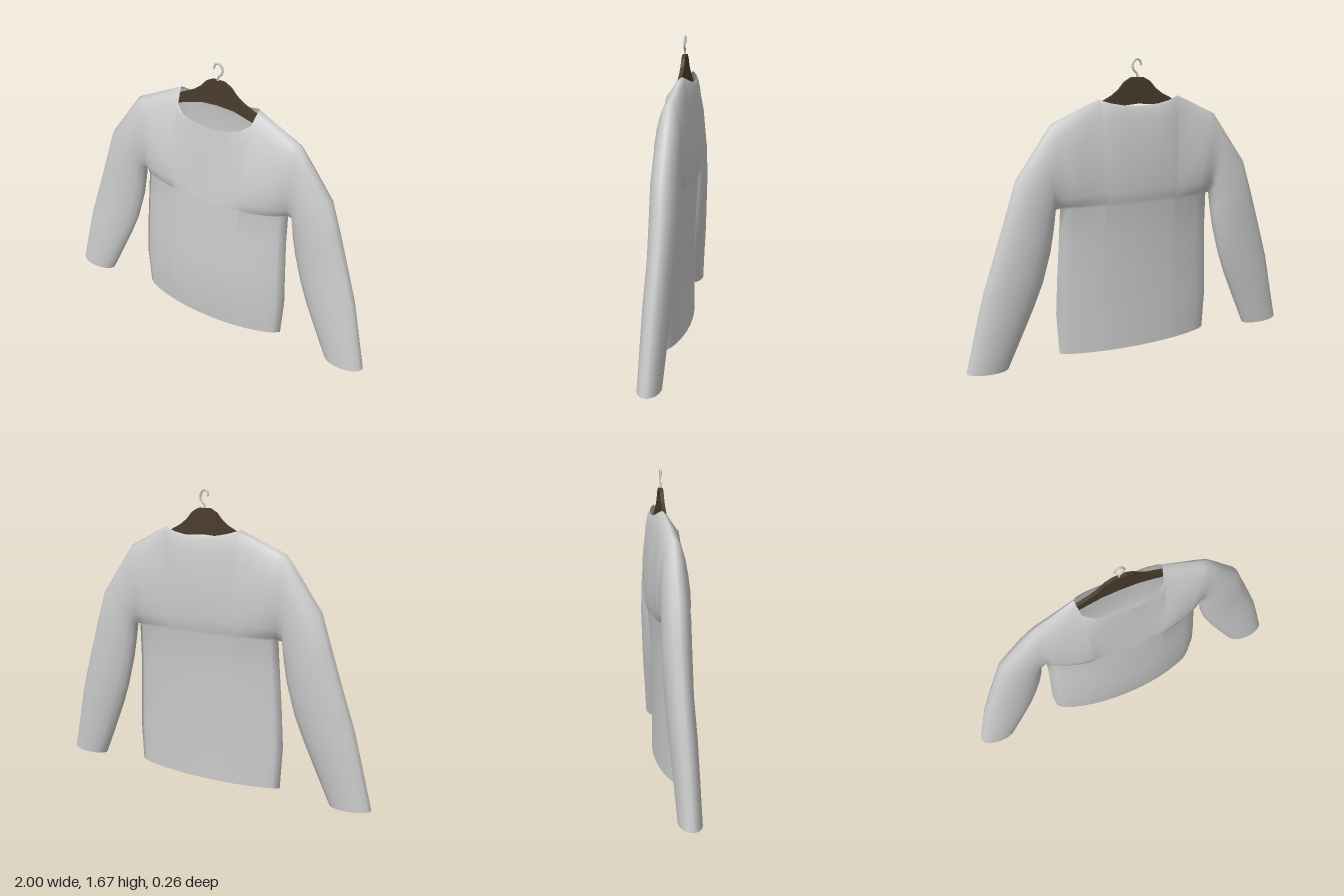
import * as THREE from 'three';
import { mergeVertices } from 'three/addons/utils/BufferGeometryUtils.js';

const lerp = THREE.MathUtils.lerp;
const STEPS = 8; // rows between underarm and shoulder, shared by panels and sleeve

// Torso levels: y, half width, side z, front z, back z
const LEVELS = [
  [0.03, 0.465, 0.0, 0.105, -0.09],
  [0.27, 0.48, 0.0, 0.13, -0.09],
  [0.5, 0.47, -0.005, 0.12, -0.092],
  [0.7, 0.46, -0.015, 0.11, -0.1],
  [0.88, 0.455, -0.03, 0.1, -0.112],
];

// Shoulder slope, shared by both panels: x, y, z
const SHOULDER = [[0.24, 1.46, -0.06], [0.32, 1.425, -0.05], [0.41, 1.382, -0.04], [0.46, 1.36, -0.034], [0.5, 1.34, -0.03]];
const withBulge = (bulges) => SHOULDER.map((p, i) => [...p, bulges[i]]);

// Top edge of each panel from the middle outwards: x, y, z, bulge below it
const FRONT = [
  [0, 1.33, 0.05, 0], [0.1, 1.337, 0.045, 0], [0.17, 1.352, 0.03, 0.01], [0.225, 1.385, 0, 0.03],
  ...withBulge([0.055, 0.06, 0.065, 0.065, 0.065]),
];
const BACK = [
  [0, 1.42, -0.095, -0.03], [0.1, 1.425, -0.095, -0.03], [0.17, 1.438, -0.088, -0.03], [0.225, 1.455, -0.07, -0.035],
  ...withBulge([-0.035, -0.045, -0.06, -0.065, -0.065]),
];

// Sleeve rings: inner x, y, outer x, y, centre z, half depth
const SLEEVE = [
  [0.455, 0.88, 0.5, 1.34, -0.03, 0.065],
  [0.485, 0.877, 0.56, 1.256, -0.03, 0.07],
  [0.495, 0.77, 0.7, 1.06, -0.03, 0.075],
  [0.515, 0.65, 0.765, 0.86, -0.03, 0.075],
  [0.56, 0.48, 0.83, 0.66, -0.025, 0.07],
  [0.61, 0.35, 0.9, 0.44, -0.015, 0.07],
  [0.685, 0.18, 0.945, 0.25, -0.005, 0.065],
  [0.765, 0.005, 1.0, 0.015, 0.005, 0.06],
];

// Half a front or back panel as rows of points, hem to neck
function panelRows(top, isFront) {
  const baseZ = (level, u) =>
    lerp(level[2], level[isFront ? 3 : 4], Math.pow(Math.max(0, 1 - u * u), 0.7));
  const rows = LEVELS.map((l) => top.map(([x]) => [(x / 0.5) * l[1], l[0], baseZ(l, x / 0.5)]));
  const arm = LEVELS[LEVELS.length - 1];
  for (let k = 1; k <= STEPS; k++) {
    const a = (Math.PI * k) / STEPS;
    const v = (1 - Math.cos(a)) / 2;
    rows.push(top.map(([x, y, z, bulge]) => {
      const u = x / 0.5;
      return [u * lerp(arm[1], 0.5, v), lerp(arm[0], y, v), lerp(baseZ(arm, u), z, v) + bulge * Math.sin(a)];
    }));
  }
  return rows;
}

// Rings of a sleeve, armhole to cuff
function sleeveRows() {
  return SLEEVE.map(([ix, iy, ox, oy, z, depth]) => {
    const ring = [];
    for (let j = 0; j <= STEPS * 2; j++) {
      const a = (Math.PI * j) / STEPS;
      const s = (1 - Math.cos(a)) / 2;
      ring.push([lerp(ix, ox, s), lerp(iy, oy, s), z + depth * Math.sin(a)]);
    }
    return ring;
  });
}

// Adds the quads of a grid of points, optionally mirrored in x
function addGrid(out, rows, flip, side) {
  const put = (p) => out.push(p[0] * side, p[1], p[2]);
  for (let i = 0; i < rows.length - 1; i++) {
    for (let j = 0; j < rows[0].length - 1; j++) {
      const q = [rows[i][j], rows[i][j + 1], rows[i + 1][j + 1], rows[i + 1][j]];
      if (flip !== side < 0) q.reverse();
      [0, 1, 2, 0, 2, 3].forEach((n) => put(q[n]));
    }
  }
}

function createSweater() {
  const positions = [];
  for (const side of [1, -1]) {
    addGrid(positions, panelRows(FRONT, true), false, side);
    addGrid(positions, panelRows(BACK, false), true, side);
    addGrid(positions, sleeveRows(), true, side);
  }
  // Weld the seams so the knit shades smoothly
  let geometry = new THREE.BufferGeometry();
  geometry.setAttribute('position', new THREE.Float32BufferAttribute(positions, 3));
  geometry = mergeVertices(geometry, 1e-4);
  geometry.computeVertexNormals();
  const material = new THREE.MeshStandardMaterial({ color: 0xcccccc, side: THREE.DoubleSide });
  const mesh = new THREE.Mesh(geometry, material);
  mesh.name = 'sweater';
  return mesh;
}

function createHanger() {
  const group = new THREE.Group();
  group.name = 'hanger';
  group.position.z = -0.045;

  // Wooden body: right half outline, mirrored
  const half = [
    [0.035, 1.567], [0.075, 1.545], [0.11, 1.505], [0.15, 1.475], [0.22, 1.44], [0.31, 1.395],
    [0.41, 1.35], [0.415, 1.325], [0.3, 1.352], [0.2, 1.388], [0.1, 1.418],
  ];
  const outline = [...half, [0, 1.425], ...half.map(([x, y]) => [-x, y]).reverse()];
  const shape = new THREE.Shape(outline.map(([x, y]) => new THREE.Vector2(x, y)));
  const bodyGeometry = new THREE.ExtrudeGeometry(shape, { depth: 0.02, bevelEnabled: false });
  bodyGeometry.translate(0, 0, -0.01);
  const body = new THREE.Mesh(bodyGeometry, new THREE.MeshStandardMaterial({ color: 0x4a3c2c }));
  body.name = 'hangerBody';

  // Wire hook
  const path = new THREE.CatmullRomCurve3(
    [[0, 1.55], [0, 1.585], [0.022, 1.61], [0.025, 1.64], [0.003, 1.664], [-0.018, 1.655], [-0.025, 1.63]]
      .map(([x, y]) => new THREE.Vector3(x, y, 0)),
  );
  const hook = new THREE.Mesh(
    new THREE.TubeGeometry(path, 32, 0.006, 8),
    new THREE.MeshStandardMaterial({ color: 0xcccccc, side: THREE.DoubleSide }),
  );
  hook.name = 'hangerHook';

  group.add(body, hook);
  return group;
}

export function createModel() {
  const model = new THREE.Group();
  model.name = 'sweaterOnHanger';
  model.add(createSweater(), createHanger());
  return model;
}
